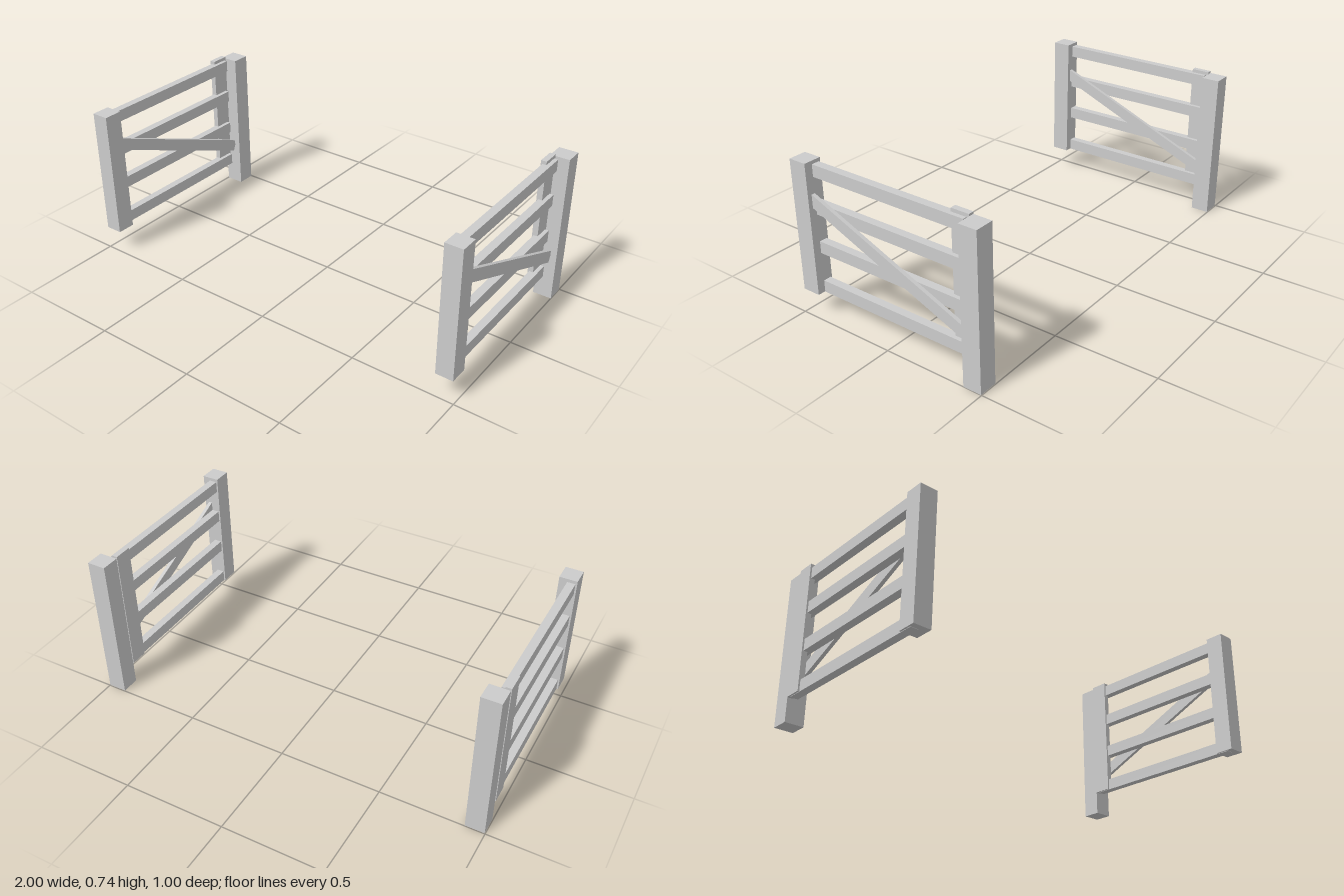
import * as THREE from 'three';

const material = new THREE.MeshStandardMaterial({ color: 0xcccccc, flatShading: true });

// Box given by its [min, max] range on each axis
function beam(name, [x0, x1], [y0, y1], [z0, z1]) {
  const mesh = new THREE.Mesh(new THREE.BoxGeometry(x1 - x0, y1 - y0, z1 - z0), material);
  mesh.position.set((x0 + x1) / 2, (y0 + y1) / 2, (z0 + z1) / 2);
  mesh.name = name;
  return mesh;
}

// One gate, with x measured from its outer face
function createGate(name) {
  const gate = new THREE.Group();
  gate.name = name;

  // Ground post, swinging end post and thin stile beside the ground post
  gate.add(beam('groundPost', [0.003, 0.094], [0, 0.731], [-0.497, -0.408]));
  gate.add(beam('endPost', [0, 0.084], [0.114, 0.74], [0.409, 0.498]));
  gate.add(beam('stile', [0, 0.027], [0.114, 0.74], [-0.407, -0.319]));

  // Horizontal rails
  for (const y of [0.112, 0.306, 0.492, 0.667]) {
    gate.add(beam('rail', [0.008, 0.046], [y, y + 0.057], [-0.395, 0.469]));
  }

  // Diagonal brace on the +x face of the rails
  const brace = beam('brace', [0.046, 0.064], [-0.029, 0.029], [-0.469, 0.469]);
  brace.position.y = 0.403;
  brace.position.z = 0.027;
  brace.rotation.x = -Math.atan(0.4135);
  gate.add(brace);
  return gate;
}

export function createModel() {
  const model = new THREE.Group();
  model.name = 'gatePair';
  const right = createGate('rightGate');
  right.position.x = -1;
  const left = createGate('leftGate');
  left.position.x = 0.906;
  model.add(right, left);
  return model;
}
